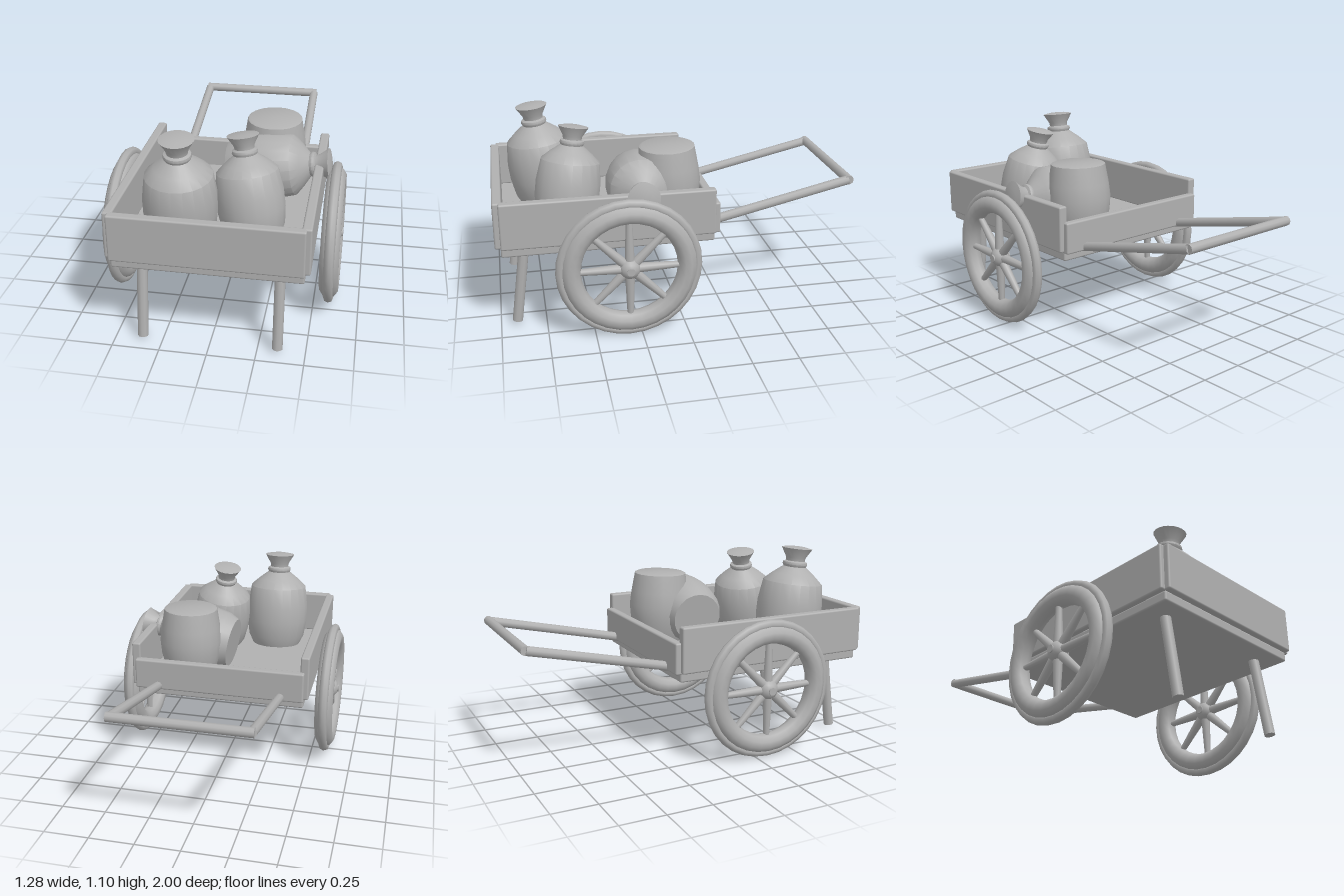
import * as THREE from 'three';
import { RoundedBoxGeometry } from 'three/addons/geometries/RoundedBoxGeometry.js';
import { toCreasedNormals } from 'three/addons/utils/BufferGeometryUtils.js';

const UP = new THREE.Vector3(0, 1, 0);

export function createModel() {
  const grey = new THREE.MeshStandardMaterial({ color: 0xb0b0b0 });
  grey.name = 'plain grey';
  const model = new THREE.Group();
  model.name = 'handcart';

  const add = (name, geometry, parent = model) => {
    const mesh = new THREE.Mesh(geometry, grey);
    mesh.name = name;
    parent.add(mesh);
    return mesh;
  };

  // Board with softened edges, given by its two opposite corners
  const board = (name, x0, x1, y0, y1, z0, z1) => {
    const mesh = add(name, new RoundedBoxGeometry(x1 - x0, y1 - y0, z1 - z0, 2, 0.01));
    mesh.position.set((x0 + x1) / 2, (y0 + y1) / 2, (z0 + z1) / 2);
  };

  // Round pole from a to b, optionally tapered
  const pole = (name, a, b, r0, r1 = r0, parent = model) => {
    const start = new THREE.Vector3(...a), end = new THREE.Vector3(...b);
    const dir = end.clone().sub(start);
    const geo = new THREE.CylinderGeometry(r1, r0, dir.length(), 10);
    const mesh = add(name, geo, parent);
    mesh.position.copy(start).lerp(end, 0.5);
    mesh.quaternion.setFromUnitVectors(UP, dir.normalize());
  };

  // Turned body standing on base and leaning along axis
  const turned = (name, profile, base, axis, scale = 1) => {
    const points = profile.map(([r, y]) => new THREE.Vector2(r * scale, y * scale));
    const mesh = add(name, toCreasedNormals(new THREE.LatheGeometry(points, 20), 0.7));
    mesh.position.set(...base);
    mesh.quaternion.setFromUnitVectors(UP, new THREE.Vector3(...axis).normalize());
  };

  // Cart bed
  board('floor', -0.485, 0.485, 0.47, 0.525, -0.17, 0.97);
  board('frontBoard', -0.488, 0.488, 0.522, 0.777, 0.95, 1.0);
  board('backBoard', -0.488, 0.488, 0.515, 0.69, -0.2, -0.153);
  board('leftBoard', 0.463, 0.513, 0.522, 0.777, -0.17, 0.97);
  board('rightBoard', -0.513, -0.463, 0.522, 0.777, -0.17, 0.97);

  // Legs, handle arms and wheels on both sides
  for (const side of [1, -1]) {
    const label = side > 0 ? 'left' : 'right';
    pole(label + 'Leg', [side * 0.355, 0.49, 0.847], [side * 0.355, 0.025, 0.91], 0.028);
    pole(label + 'HandleArm', [side * 0.355, 0.512, -0.09], [side * 0.355, 0.714, -0.972], 0.026);

    const wheel = new THREE.Group();
    wheel.name = label + 'Wheel';
    wheel.position.set(side * 0.584, 0.398, 0.313);
    wheel.rotation.y = side * Math.PI / 2;
    model.add(wheel);
    add('rim', new THREE.TorusGeometry(0.31, 0.053, 10, 32), wheel);
    add('tyre', new THREE.TorusGeometry(0.364, 0.027, 8, 32), wheel);
    const hub = add('hub', new THREE.SphereGeometry(0.058, 16, 10), wheel);
    hub.scale.z = 0.9;
    pole('hubCap', [0, 0, -0.055], [0, 0, 0.055], 0.022, 0.022, wheel);
    for (let i = 0; i < 8; i++) {
      const a = i * Math.PI / 4, c = Math.cos(a), s = Math.sin(a);
      pole('spoke', [c * 0.03, s * 0.03, 0], [c * 0.28, s * 0.28, 0], 0.027, 0.017, wheel);
    }
  }
  pole('handleBar', [-0.37, 0.716, -0.974], [0.37, 0.716, -0.974], 0.026);

  // Tied sacks: two standing, one lying with its mouth over the left board
  const sack = [[0, 0], [0.15, 0], [0.178, 0.06], [0.192, 0.16], [0.192, 0.25], [0.174, 0.375],
    [0.125, 0.42], [0.066, 0.466], [0.073, 0.48], [0.07, 0.493], [0.055, 0.5], [0.058, 0.52],
    [0.09, 0.575], [0.05, 0.583], [0, 0.585]];
  turned('largeSack', sack, [-0.18, 0.522, 0.682], [0, 1, 0.12]);
  turned('smallSack', sack, [0.19, 0.522, 0.615], [-0.147, 1, -0.147], 0.93);
  turned('lyingSack', sack, [-0.005, 0.69, 0.18], [1, 0.14, 0.08], 0.965);

  // Round pot
  const pot = [[0, 0], [0.125, 0], [0.15, 0.06], [0.172, 0.15], [0.18, 0.23], [0.171, 0.31],
    [0.153, 0.418], [0.14, 0.424], [0, 0.426]];
  turned('pot', pot, [0.217, 0.521, 0.03], [0, 1, 0.03]);

  return model;
}
